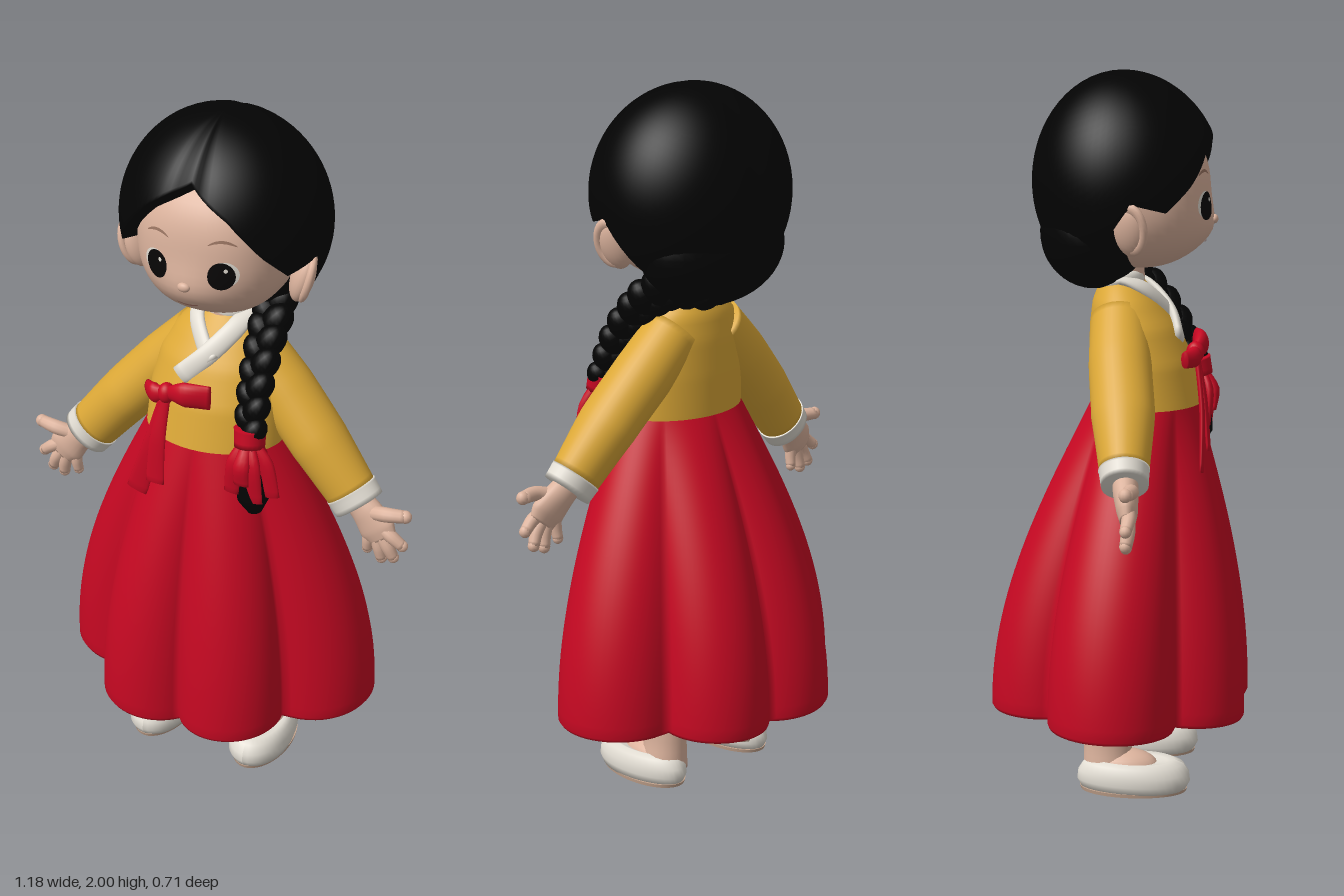
import * as THREE from 'three';

const mat = (name, color, side = THREE.FrontSide) => {
  const m = new THREE.MeshStandardMaterial({ color, side });
  m.name = name;
  return m;
};
const V = (p) => new THREE.Vector3(...p);
const lerp = THREE.MathUtils.lerp;

// Surface closed around u, running down v; fn(angle, v) returns a point
function grid(nu, nv, fn) {
  const pos = [], idx = [];
  for (let j = 0; j <= nv; j++)
    for (let i = 0; i < nu; i++) pos.push(...fn((i / nu) * Math.PI * 2, j / nv, j));
  for (let j = 0; j < nv; j++)
    for (let i = 0; i < nu; i++) {
      const a = j * nu + i, b = j * nu + (i + 1) % nu, c = a + nu, d = b + nu;
      idx.push(a, c, b, b, c, d);
    }
  const g = new THREE.BufferGeometry();
  g.setAttribute('position', new THREE.Float32BufferAttribute(pos, 3));
  g.setIndex(idx);
  g.computeVertexNormals();
  return g;
}

// Piecewise linear lookup in rows of [key, value, value...]
function lookup(rows, k) {
  const up = rows[0][0] < rows[rows.length - 1][0];
  let i = 0;
  while (i < rows.length - 2 && (up ? k > rows[i + 1][0] : k < rows[i + 1][0])) i++;
  const t = (k - rows[i][0]) / (rows[i + 1][0] - rows[i][0]);
  return rows[i].slice(1).map((v, n) => lerp(v, rows[i + 1][n + 1], t));
}

// Capped elliptical tube through points, radii as [wide, deep] per point
function limb(points, radii, n = 16, sides = 20) {
  const curve = new THREE.CatmullRomCurve3(points.map(V));
  const rows = radii.map((r, i) => [i / (radii.length - 1), ...[].concat(r, r).slice(0, 2)]);
  return grid(sides, n + 2, (a, _, j) => {
    const t = Math.min(Math.max((j - 1) / n, 0), 1);
    const c = curve.getPoint(t), T = curve.getTangent(t);
    const B = new THREE.Vector3(0, 0, 1).cross(T).normalize();
    const N = T.clone().cross(B);
    const k = j === 0 || j === n + 2 ? 0 : 1;
    const [rx, rz] = lookup(rows, t);
    return c.addScaledVector(B, Math.sin(a) * rx * k).addScaledVector(N, Math.cos(a) * rz * k).toArray();
  });
}

function ball(p, r, w = 24, h = 16) {
  return new THREE.SphereGeometry(1, w, h).scale(...r).translate(...p);
}

// Rounded face: a slightly squared ellipsoid with a soft muzzle
const FC = [0, 1.67, 0.04], FR = [0.213, 0.21, 0.203], P = 2.4;
const muzzle = (x, y) => 0.024 * Math.exp(-((x / 0.1) ** 2) - ((y - 1.565) / 0.07) ** 2);
function faceGeometry() {
  const g = new THREE.SphereGeometry(1, 48, 32), p = g.attributes.position, v = new THREE.Vector3();
  for (let i = 0; i < p.count; i++) {
    v.fromBufferAttribute(p, i);
    const k = (Math.abs(v.x) ** P + Math.abs(v.y) ** P + Math.abs(v.z) ** P) ** (-1 / P);
    const x = v.x * k * FR[0] + FC[0], y = v.y * k * FR[1] + FC[1];
    p.setXYZ(i, x, y, v.z * k * FR[2] + FC[2] + (v.z > 0 ? muzzle(x, y) : 0));
  }
  g.computeVertexNormals();
  return g;
}
const faceZ = (x, y) => muzzle(x, y) + FC[2] + FR[2] *
  Math.max(0, 1 - Math.abs(x / FR[0]) ** P - Math.abs((y - FC[1]) / FR[1]) ** P) ** (1 / P);

// Thin oval lying on the face, bent by an arch
function patch(x, y, rx, ry, off, arch = 0) {
  const g = new THREE.RingGeometry(0.001, 1, 28, 4), p = g.attributes.position;
  for (let i = 0; i < p.count; i++) {
    const px = p.getX(i), X = x + px * rx, Y = y + p.getY(i) * ry - arch * px * px;
    p.setXYZ(i, X, Y, faceZ(X, Y) + off);
  }
  g.computeVertexNormals();
  return g;
}

// Hair cap swept from the crown to a hairline that is high in front
const HAIRLINE = [[0, 51], [26, 70], [44, 90], [60, 104], [80, 99], [100, 128], [140, 155], [180, 160]];
function hairCap() {
  return grid(96, 30, (a, _, j) => {
    const deg = (a > Math.PI ? Math.PI * 2 - a : a) * 180 / Math.PI;
    const end = lookup(HAIRLINE, deg)[0] * Math.PI / 180;
    const th = end * Math.min(j / 28, 1);
    const d = [Math.sin(th) * Math.sin(a), Math.cos(th), Math.sin(th) * Math.cos(a)];
    let r = 1 / Math.hypot(d[0] / 0.291, d[1] / 0.3, d[2] / 0.25);
    const part = Math.exp(-((deg / 9) ** 2)) * 0.1 + Math.exp(-(((180 - deg) / 10) ** 2)) * 0.03;
    r *= 1 - part * Math.sin(th) + 0.13 * (Math.max(0, Math.cos(a)) * Math.sin(th)) ** 2;
    r *= [1, 0.96, 0.7][Math.max(0, j - 28)];
    return [d[0] * r, 1.7 + d[1] * r, d[2] * r];
  });
}

// Skirt: oval waist opening into six round folds, closed by a recessed underside
const FOLDS = [[0.3, 0, 0.175], [-0.3, 0, 0.175]];
for (const x of [-0.122, 0.122]) for (const z of [-0.2, 0.2]) FOLDS.push([x, z, 0.157]);
function foldRadius(dx, dz) {
  return Math.max(...FOLDS.map(([x, z, r]) => {
    const b = dx * x + dz * z, disc = b * b - x * x - z * z + r * r;
    return disc < 0 ? 0 : b + Math.sqrt(disc);
  }));
}
function skirtGeometry() {
  const n = 28;
  return grid(144, n + 4, (a, _, j) => {
    const t = Math.min(j / n, 1), s = Math.sin(t * Math.PI / 2);
    const dx = Math.sin(a), dz = Math.cos(a), under = Math.max(0, j - n);
    const waist = 1 / Math.hypot(dx / 0.19, dz / 0.14);
    const r = lerp(waist, foldRadius(dx, dz), s) * [1, 0.985, 0.95, 0.9, 0][under];
    const hem = 0.217 + 0.02 * Math.abs(dx) - 0.01 * dz;
    const y = under === 4 ? 0.29 : lerp(1.11, hem, t) + [0, -0.01, 0, 0.03][under];
    return [dx * r - 0.01 * s, y, dz * r + 0.065 * (1 - s)];
  });
}

// Jacket body rows: height, half width, front z, back z
const BODY = [[1.44, 0.05, 0.045, -0.045], [1.42, 0.085, 0.065, -0.062], [1.37, 0.138, 0.105, -0.082],
  [1.3, 0.176, 0.155, -0.09], [1.2, 0.195, 0.2, -0.092], [1.085, 0.202, 0.226, -0.09]];
function jacketGeometry() {
  return grid(48, 24, (a, v) => {
    const y = lerp(1.44, 1.085, v), [w, f, b] = lookup(BODY, y);
    return [Math.sin(a) * w, y, (f + b) / 2 + Math.cos(a) * (f - b) / 2];
  });
}

export function createModel() {
  const root = new THREE.Group();
  const skin = mat('skin', 0xdcb39d), black = mat('hair black', 0x030303);
  const red = mat('red cloth', 0xc60822, THREE.DoubleSide), yellow = mat('yellow cloth', 0xdca837, THREE.DoubleSide);
  const white = mat('off white', 0xe2ddd3), dark = mat('eye dark', 0x080606);
  const brown = mat('brow brown', 0x9a7562), lip = mat('lip pink', 0xb77f70), tan = mat('sole tan', 0xc4a48e);
  const add = (name, geo, m) => {
    const mesh = new THREE.Mesh(geo, m);
    mesh.name = name;
    root.add(mesh);
    return mesh;
  };

  // Head and face
  add('face', faceGeometry(), skin);
  add('nose', ball([0, 1.595, 0.255], [0.018, 0.013, 0.011]), skin);
  add('mouth', patch(0, 1.533, 0.032, 0.0035, 0.003, -0.007), lip);
  add('neck', new THREE.CylinderGeometry(0.06, 0.065, 0.14, 24).translate(0, 1.44, 0), skin);

  // Hair
  add('hairCap', hairCap(), black);
  add('napeHair', ball([0, 1.56, -0.075], [0.235, 0.16, 0.152], 40, 24), black);

  // Braid: two alternating rows of plump strands over the left shoulder
  const braid = new THREE.CatmullRomCurve3([[0, 1.49, -0.12], [0.08, 1.475, -0.1], [0.135, 1.45, -0.02],
    [0.148, 1.38, 0.065], [0.155, 1.28, 0.14], [0.163, 1.17, 0.19]].map(V));
  for (let i = 0; i <= 20; i++) {
    const t = i / 20, c = braid.getPoint(t), T = braid.getTangent(t), r = lerp(0.06, 0.04, t);
    const side = new THREE.Vector3(0.9, 0.1, 0.5).cross(T).cross(T).normalize();
    const strand = add('braidStrand', new THREE.SphereGeometry(r, 16, 12).scale(0.85, 1.15, 0.9), black);
    strand.position.copy(c).addScaledVector(side, (i % 2 ? 1 : -1) * r * 0.35);
    strand.rotation.z = i % 2 ? 0.6 : -0.6;
  }
  add('braidTuft', limb([[0.165, 1.17, 0.195], [0.172, 1.05, 0.205], [0.178, 0.97, 0.2], [0.183, 0.925, 0.2]],
    [0.03, 0.034, 0.046, 0.02]), black);
  add('braidRibbonWrap', limb([[0.164, 1.18, 0.193], [0.167, 1.13, 0.203]], [0.045, 0.042], 4), red);
  for (const [x, y, z] of [[0.128, 0.99, 0.235], [0.165, 1.03, 0.25], [0.2, 0.975, 0.235], [0.24, 0.99, 0.21], [0.18, 1.0, 0.16]])
    add('braidRibbonTail', limb([[0.166, 1.16, 0.205], [lerp(0.166, x, 0.7), 1.09, z], [x, y, z]],
      [[0.012, 0.012], [0.024, 0.014], [0.022, 0.006]], 10, 12), red);

  // Clothes
  add('skirt', skirtGeometry(), red);
  add('jacketBody', jacketGeometry(), yellow);
  add('collarUnder', limb([[-0.07, 1.435, -0.01], [-0.062, 1.41, 0.06], [-0.01, 1.35, 0.12], [0.02, 1.32, 0.14]],
    [[0.024, 0.014], [0.026, 0.014]]), white);
  add('collarOver', limb([[0.07, 1.435, -0.01], [0.066, 1.41, 0.06], [0.01, 1.34, 0.135], [-0.06, 1.27, 0.165]],
    [[0.026, 0.014], [0.03, 0.014]]), white);
  add('collarBack', new THREE.TorusGeometry(0.068, 0.018, 12, 32).rotateX(Math.PI / 2)
    .scale(1, 1.4, 0.85).translate(0, 1.43, -0.01), white);

  // Chest bow
  add('bowKnot', ball([-0.08, 1.235, 0.21], [0.024, 0.03, 0.025]), red);
  add('bowLoopLong', limb([[-0.08, 1.235, 0.21], [-0.02, 1.25, 0.222], [0.05, 1.248, 0.205]],
    [[0.016, 0.012], [0.036, 0.022], [0.036, 0.012]]), red);
  add('bowLoopShort', limb([[-0.08, 1.235, 0.21], [-0.115, 1.227, 0.21], [-0.148, 1.222, 0.185]],
    [[0.016, 0.012], [0.03, 0.02], [0.024, 0.012]]), red);
  add('bowTailLong', limb([[-0.085, 1.225, 0.215], [-0.115, 1.08, 0.232], [-0.165, 0.915, 0.235]],
    [[0.014, 0.008], [0.026, 0.008], [0.032, 0.006]]), red);
  add('bowTailShort', limb([[-0.08, 1.225, 0.215], [-0.095, 1.1, 0.238], [-0.1, 0.965, 0.25]],
    [[0.014, 0.008], [0.024, 0.008], [0.028, 0.006]]), red);

  // Paired parts
  for (const s of [1, -1]) {
    const m = (p) => [p[0] * s, p[1], p[2]];
    const L = (pts, r, n, k) => limb(pts.map(m), r, n, k);

    const eyeX = s * 0.092 + 0.006;
    add('eyeWhite', patch(eyeX + s * 0.006, 1.642, 0.036, 0.036, 0.002), white);
    add('eye', patch(eyeX, 1.638, 0.034, 0.039, 0.004), dark);
    add('eyeGlint', patch(eyeX + 0.012, 1.655, 0.005, 0.006, 0.006), white);
    add('eyebrow', patch(eyeX, 1.733, 0.036, 0.004, 0.003, 0.012), brown);

    const ear = add('ear', ball([0, 0, 0], [0.032, 0.074, 0.048]), skin);
    ear.position.set(s * 0.243, 1.585, 0.045);
    ear.rotation.set(0.1, s * 0.45, -s * 0.3);
    const rim = add('earRim', new THREE.TorusGeometry(0.038, 0.011, 10, 28).rotateY(Math.PI / 2).scale(1, 1.5, 1), skin);
    rim.position.set(s * 0.258, 1.588, 0.05);
    rim.rotation.copy(ear.rotation);

    add('sleeve', L([[0.075, 1.325, 0], [0.18, 1.215, 0.012], [0.295, 1.09, 0.032], [0.405, 0.96, 0.046]],
      [[0.08, 0.08], [0.085, 0.086], [0.082, 0.086], [0.074, 0.066]], 24, 32), yellow);
    add('cuff', L([[0.4, 0.966, 0.045], [0.43, 0.93, 0.05]], [[0.078, 0.069], [0.076, 0.063]], 4, 32), white);

    // Open hand with spread fingers, thumb outward
    add('palm', L([[0.42, 0.945, 0.05], [0.455, 0.915, 0.055], [0.49, 0.875, 0.062], [0.51, 0.85, 0.065]],
      [[0.04, 0.034], [0.047, 0.034], [0.057, 0.028], [0.044, 0.02]]), skin);
    const fingers = [[[0.465, 0.92, 0.06], [0.52, 0.935, 0.075], [0.571, 0.937, 0.065], 0.021],
      [[0.5, 0.885, 0.065], [0.535, 0.865, 0.07], [0.566, 0.84, 0.065], 0.019],
      [[0.495, 0.87, 0.065], [0.523, 0.83, 0.068], [0.54, 0.794, 0.062], 0.019],
      [[0.485, 0.865, 0.063], [0.498, 0.82, 0.065], [0.505, 0.782, 0.06], 0.019],
      [[0.465, 0.87, 0.058], [0.463, 0.83, 0.06], [0.46, 0.797, 0.055], 0.017]];
    for (const [a, b, c, r] of fingers) {
      add('finger', L([a, b, c], [r, r, r * 0.85], 8, 12), skin);
      add('fingertip', ball(m(c), [r * 0.9, r * 0.9, r * 0.85], 12, 8), skin);
    }

    // Legs and low slippers
    const legX = s * 0.147 - 0.014, footX = s * 0.167 - 0.015;
    add('leg', limb([[legX, 0.32, -0.02], [legX, 0.22, -0.02], [legX + s * 0.004, 0.12, -0.024], [legX + s * 0.006, 0.04, -0.024]],
      [[0.066, 0.076], [0.062, 0.074], [0.057, 0.068], [0.064, 0.07]]), skin);
    add('instep', ball([footX - s * 0.008, 0.065, 0.02], [0.062, 0.05, 0.1]), skin);
    const profile = [[0, 0.008], [0.93, 0.008], [1, 0.03], [0.98, 0.055], [0.88, 0.08], [0.72, 0.09], [0.6, 0.085], [0, 0.07]];
    const shoe = new THREE.LatheGeometry(profile.map((p) => new THREE.Vector2(...p)), 40);
    const p = shoe.attributes.position;
    for (let i = 0; i < p.count; i++)   // broader toe than heel
      p.setX(i, p.getX(i) * (1 + 0.12 * p.getZ(i)));
    shoe.scale(0.087, 1, 0.16);
    shoe.computeVertexNormals();
    add('shoe', shoe.translate(footX, 0, 0.05), white);
    add('sole', new THREE.CylinderGeometry(0.95, 0.93, 0.01, 40).scale(0.087, 1, 0.16).translate(footX, 0.005, 0.05), tan);
  }
  return root;
}
